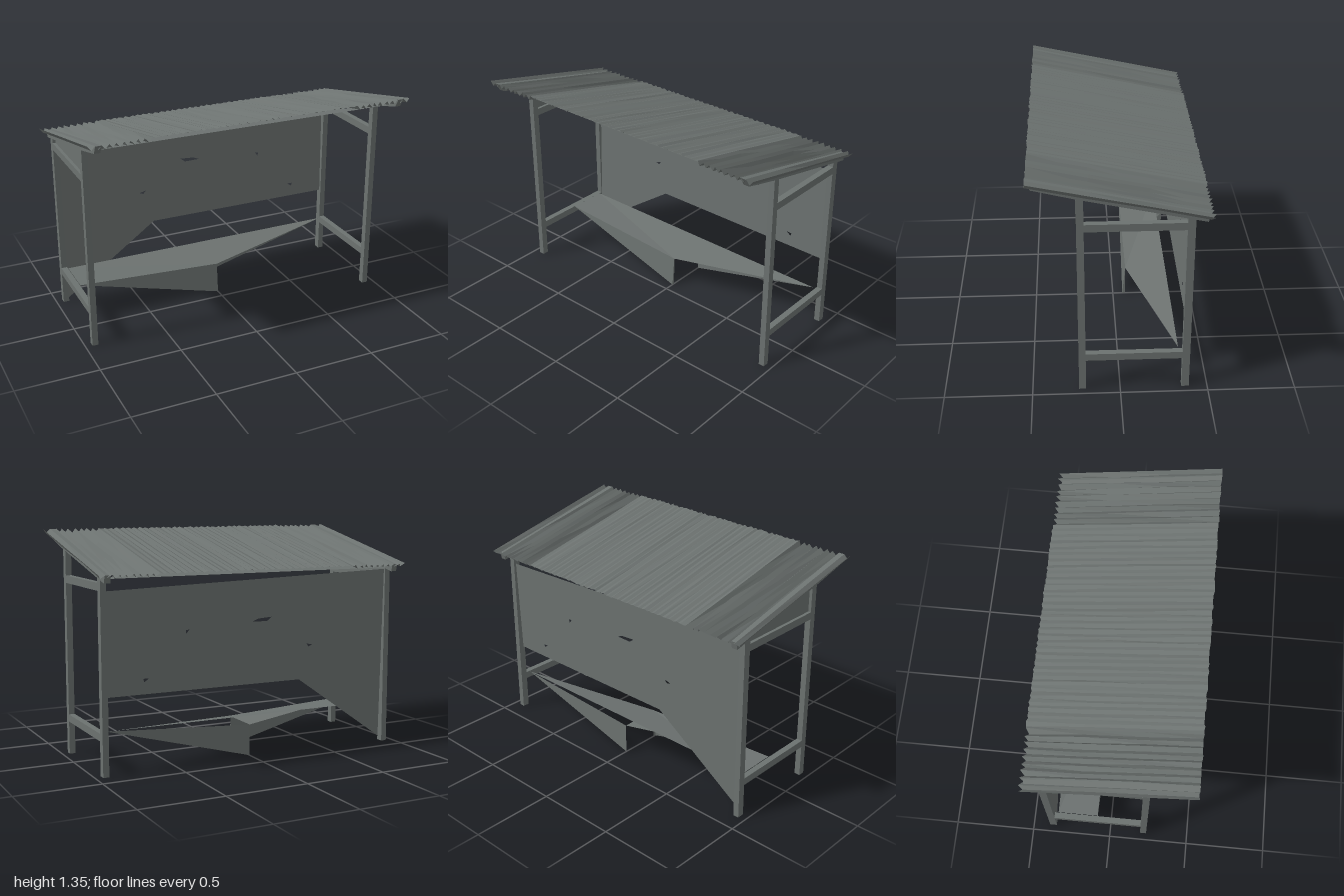
import * as THREE from 'three';

const metal = new THREE.MeshStandardMaterial({ color: 0x6c7270, side: THREE.DoubleSide, flatShading: true });
metal.name = 'weathered grey';

const roofY = z => 1.247 + 0.216 * z; // slope of the roof plane

function add(group, name, geometry) {
  const mesh = new THREE.Mesh(geometry, metal);
  mesh.name = name;
  group.add(mesh);
  return mesh;
}

// Bar with a side profile of [z, y] corners, centred on x with width w
function sideProfile(points, x, w) {
  const shape = new THREE.Shape(points.map(p => new THREE.Vector2(p[0], p[1])));
  const g = new THREE.ExtrudeGeometry(shape, { depth: w, bevelEnabled: false });
  return g.rotateY(-Math.PI / 2).translate(x + w / 2, 0, 0);
}

// Thin sheet made of a fan of [x, y, z] corners
function sheet(points) {
  const pos = [];
  for (let i = 1; i < points.length - 1; i++) pos.push(...points[0], ...points[i], ...points[i + 1]);
  const g = new THREE.BufferGeometry();
  g.setAttribute('position', new THREE.Float32BufferAttribute(pos, 3));
  g.computeVertexNormals();
  return g;
}

// Corrugated sheet: deep ridges near the ends, shallow dents in the middle
function corrugatedRoof() {
  let seed = 7;
  const rnd = () => (seed = (seed * 16807) % 2147483647) / 2147483647;
  const n = 100, rows = 3, pos = [], index = [];
  for (let i = 0; i <= n; i++) {
    const x = -1 + (2 * i) / n;
    const deep = Math.abs(x) > 0.64;
    const depth = (i % 2) * (deep ? 0.026 : 0.007) + rnd() * 0.004;
    const back = -0.498 + (i % 2) * (deep ? 0.025 : 0.004) + rnd() * 0.006;
    const front = 0.498 - rnd() * 0.008;
    for (let j = 0; j <= rows; j++) {
      const z = back + ((front - back) * j) / rows;
      const shift = i > 0 && i < n ? (rnd() - 0.5) * 0.01 : 0;
      pos.push(x + shift, roofY(z) - depth, z);
      if (i < n && j < rows) {
        const a = i * (rows + 1) + j, b = a + rows + 1;
        index.push(a, a + 1, b, b, a + 1, b + 1);
      }
    }
  }
  const g = new THREE.BufferGeometry();
  g.setAttribute('position', new THREE.Float32BufferAttribute(pos, 3));
  g.setIndex(index);
  const flat = g.toNonIndexed();
  flat.computeVertexNormals();
  return flat;
}

// Back wall panel with torn lower corner and small holes
function backWall() {
  const v = pts => pts.map(p => new THREE.Vector2(p[0], p[1]));
  const shape = new THREE.Shape(v([[-0.93, 1.1], [-0.93, 0.02], [-0.32, 0.445], [0.92, 0.445], [0.92, 1.04]]));
  const holes = [
    [[-0.12, 0.842], [-0.03, 0.836], [0.01, 0.82], [-0.09, 0.818]],
    [[0.415, 0.8], [0.44, 0.795], [0.435, 0.775]],
    [[-0.41, 0.655], [-0.365, 0.665], [-0.385, 0.645]],
    [[0.665, 0.535], [0.7, 0.535], [0.695, 0.515]],
  ];
  holes.forEach(h => shape.holes.push(new THREE.Path(v(h))));
  const g = new THREE.ShapeGeometry(shape);
  const p = g.attributes.position;
  for (let i = 0; i < p.count; i++) p.setZ(i, -0.353 - 0.027 * p.getY(i)); // slight lean
  g.computeVertexNormals();
  return g;
}

export function createModel() {
  const model = new THREE.Group();
  model.name = 'shelter';

  // Posts, rafters and rails at both ends
  for (const side of [-1, 1]) {
    const end = new THREE.Group();
    end.name = side < 0 ? 'rightEndFrame' : 'leftEndFrame';
    model.add(end);
    const x = side * 0.94, w = 0.036;
    for (const [name, z0, z1] of [['frontPost', 0.195, 0.235], ['backPost', -0.395, -0.352]]) {
      add(end, name, sideProfile([[z0, 0], [z1, 0], [z1, roofY(z1) - 0.055], [z0, roofY(z0) - 0.055]], x, w));
    }
    add(end, 'rafter', sideProfile([
      [0.465, roofY(0.465) - 0.05], [0.495, roofY(0.495) - 0.005],
      [-0.47, roofY(-0.47) - 0.012], [-0.46, roofY(-0.46) - 0.058], [0.235, roofY(0.235) - 0.058],
    ], x, w));
    for (const [name, y] of [['lowerRail', 0.2], ['upperRail', 1.042]]) {
      add(end, name, sideProfile([[-0.352, y], [0.195, y], [0.195, y + 0.044], [-0.352, y + 0.044]], x, w));
    }
  }
  // Gable infill on one end only
  add(model, 'gablePanel', sheet([[-0.94, 1.235, 0.195], [-0.94, 1.085, 0.195], [-0.94, 1.085, -0.352], [-0.94, 1.112, -0.352]]));

  // Roof and the sagging sheets beneath it
  add(model, 'corrugatedRoof', corrugatedRoof());
  const under = (x, z, d) => [x, roofY(z) - d, z];
  add(model, 'rearCeilingSheet', sheet([under(-0.92, -0.4, 0.05), under(0.92, -0.4, 0.052), under(0, 0.35, 0.04)]));
  add(model, 'frontCeilingSheet', sheet([under(-0.92, 0.42, 0.04), under(0, -0.05, 0.042), under(0.92, 0.42, 0.04)]));

  add(model, 'backWall', backWall());

  // Bench: warped seat on two triangular supports
  const yTop = 0.245, zF = -0.08, zB = -0.33;
  const frontMid = [0, 0.195, zF], backMid = [0, 0.19, zB];
  const backLeft = [0.91, yTop, zB], frontRight = [-0.92, yTop, zF], backRight = [-0.92, yTop, zB];
  add(model, 'benchSeat', sheet([frontMid, backLeft, backRight, frontRight]));
  add(model, 'benchUnderside', sheet([[0, 0.19, zF], frontRight, backMid]));
  add(model, 'benchFrontSupport', sheet([frontRight, [0, 0, -0.062], frontMid]));
  add(model, 'benchBackSupport', sheet([backMid, [0, 0, zB], backLeft]));
  add(model, 'benchCentreLeg', sheet([frontMid, [0, 0, -0.062], [0, 0, zF]]));

  return model;
}
